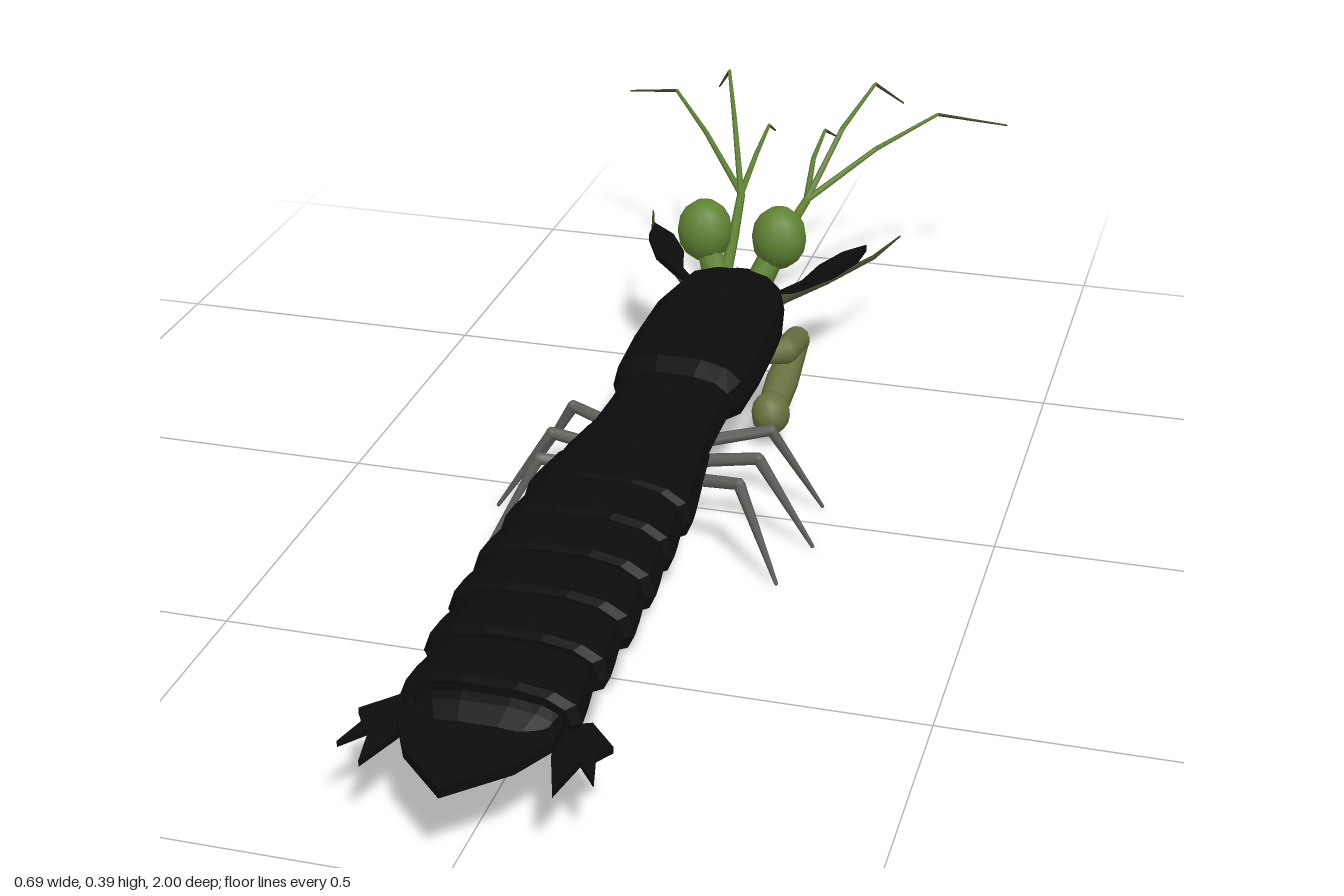
import * as THREE from 'three';

const mat = (name, color, side = THREE.FrontSide, flatShading = false) => {
  const m = new THREE.MeshStandardMaterial({ color, side, flatShading });
  m.name = name;
  return m;
};

export function createModel() {
  const root = new THREE.Group();
  root.name = 'mantisShrimp';
  const shell = mat('shellBlack', 0x0c0c0c, THREE.DoubleSide, true);
  const green = mat('eyeGreen', 0x608334);
  const olive = mat('clawOlive', 0x69703f);
  const dark = mat('whipOlive', 0x3f4a28);
  const grey = mat('legGrey', 0x5f605c);
  const violet = mat('swimmeretViolet', 0x65627a, THREE.DoubleSide);

  const add = (name, geo, m, parent = root) => {
    const mesh = new THREE.Mesh(geo, m);
    mesh.name = name;
    parent.add(mesh);
    return mesh;
  };

  // Tapered rods through a list of points, one radius per point
  const limb = (name, pts, radii, m, sides = 6, joints = false) => {
    const g = new THREE.Group();
    g.name = name;
    const v = pts.map(p => new THREE.Vector3(...p));
    for (let i = 0; i + 1 < v.length; i++) {
      const d = v[i + 1].clone().sub(v[i]);
      const rod = add(name + 'Segment', new THREE.CylinderGeometry(radii[i + 1], radii[i], d.length(), sides), m, g);
      rod.position.copy(v[i]).addScaledVector(d, 0.5);
      rod.quaternion.setFromUnitVectors(new THREE.Vector3(0, 1, 0), d.normalize());
      if (joints) add(name + 'Joint', new THREE.SphereGeometry(radii[i + 1], sides, 6), m, g).position.copy(v[i + 1]);
    }
    root.add(g);
  };

  // Loft of domed cross-sections [z, halfWidth, bottom, top]
  const loft = (name, rows) => {
    const n = 14, pos = [], idx = [];
    const pw = (c, e) => Math.sign(c) * Math.abs(c) ** e;
    for (const [z, w, b, t] of rows) {
      const mid = b + (t - b) * 0.42;
      for (let j = 0; j < n; j++) {
        const a = (j / n) * Math.PI * 2, s = Math.sin(a);
        pos.push(w * pw(Math.cos(a), 0.75), mid + pw(s, 0.8) * (s > 0 ? t - mid : mid - b), z);
      }
    }
    for (let i = 0; i + 1 < rows.length; i++) {
      for (let j = 0; j < n; j++) {
        const a = i * n + j, b = i * n + (j + 1) % n;
        idx.push(a, b, a + n, b, b + n, a + n);
      }
    }
    const last = (rows.length - 1) * n;
    for (let j = 1; j + 1 < n; j++) idx.push(0, j + 1, j, last, last + j, last + j + 1);
    const g = new THREE.BufferGeometry();
    g.setAttribute('position', new THREE.Float32BufferAttribute(pos, 3));
    g.setIndex(idx);
    g.computeVertexNormals();
    add(name, g, shell);
  };

  // Flat plate outlined in x and z, its top at height y
  const plate = (name, outline, y, depth = 0.01) => {
    const s = new THREE.Shape(outline.map(p => new THREE.Vector2(...p)));
    const g = new THREE.ExtrudeGeometry(s, { depth, bevelEnabled: false });
    return add(name, g.rotateX(Math.PI / 2).translate(0, y, 0), shell);
  };

  // Head, carapace and thorax
  loft('head', [[-0.47, 0.03, 0.16, 0.195], [-0.44, 0.06, 0.14, 0.205], [-0.38, 0.08, 0.12, 0.215]]);
  loft('carapace', [[-0.405, 0.08, 0.13, 0.222], [-0.39, 0.088, 0.12, 0.227], [-0.3, 0.105, 0.112, 0.23],
    [-0.17, 0.107, 0.108, 0.226], [-0.07, 0.104, 0.11, 0.215], [-0.04, 0.09, 0.118, 0.2]]);
  loft('thorax', [[-0.06, 0.088, 0.118, 0.2], [0.01, 0.088, 0.115, 0.197], [0.09, 0.09, 0.112, 0.2], [0.15, 0.1, 0.11, 0.201]]);

  // Overlapping abdomen rings, each flaring toward its rear edge
  for (let i = 0; i < 7; i++) {
    const z = 0.11 + i * 0.1, w = [0.105, 0.12, 0.121, 0.124, 0.124, 0.121, 0.116][i];
    const top = [0.203, 0.207, 0.206, 0.203, 0.197, 0.19, 0.179][i], low = 0.108 - i * 0.0015;
    loft('abdomenRing', [[z, w - 0.01, low + 0.004, top - 0.004], [z + 0.07, w, low, top],
      [z + 0.1, w + 0.003, low, top - 0.002], [z + 0.112, w - 0.008, low + 0.003, top - 0.006]]);
  }
  loft('tailBase', [[0.8, 0.108, 0.1, 0.17], [0.835, 0.095, 0.108, 0.155], [0.86, 0.08, 0.115, 0.14]]);

  // Tail fan
  plate('telson', [[-0.1, 0.8], [0.1, 0.8], [0.1, 0.87], [0.07, 0.93], [0, 1], [-0.07, 0.93], [-0.1, 0.87]], 0.138, 0.014);

  for (const s of [1, -1]) {
    const side = s > 0 ? 'left' : 'right';
    const P = (x, y, z) => [s * x, y, z];

    plate(side + 'Uropod', [[0.08, 0.81], [0.125, 0.79], [0.165, 0.835], [0.15, 0.86], [0.163, 0.912], [0.135, 0.875],
      [0.122, 0.945], [0.1, 0.88]].map(([x, z]) => [s * x, z]), 0.12, 0.009);

    // Eye on its stalk
    limb(side + 'EyeStalk', [P(0.035, 0.19, -0.43), P(0.06, 0.25, -0.452)], [0.022, 0.02], green, 8);
    const eye = add(side + 'Eye', new THREE.SphereGeometry(1, 12, 8), green);
    eye.scale.set(0.045, 0.052, 0.045);
    eye.position.set(s * 0.062, 0.262, -0.455);

    // Antennule with three whips
    const fork = P(0.057, 0.24, -0.68);
    limb(side + 'AntennuleStalk', [P(0.025, 0.185, -0.44), P(0.04, 0.21, -0.56), fork], [0.011, 0.009, 0.007], green);
    const whips = [
      [P(0.15, 0.298, -0.8), P(0.235, 0.329, -0.915), P(0.345, 0.29, -1)],
      [P(0.095, 0.337, -0.78), P(0.13, 0.387, -0.88), P(0.167, 0.33, -0.955)],
      [P(0.05, 0.285, -0.76), P(0.05, 0.305, -0.85), P(0.055, 0.27, -0.92)],
    ];
    for (const w of whips) {
      limb(side + 'AntennuleWhip', [fork, w[0], w[1]], [0.006, 0.0045, 0.003], green, 5);
      limb(side + 'AntennuleTip', [w[1], w[2]], [0.003, 0.0015], dark, 5);
    }

    // Antenna: paddle-shaped scale, stalk and whip
    const scale = plate(side + 'AntennaScale', [[0.07, -0.43], [0.105, -0.44], [0.15, -0.475], [0.178, -0.53], [0.182, -0.58],
      [0.145, -0.565], [0.115, -0.52], [0.1, -0.46]].map(([x, z]) => [s * x, z]), 0, 0.012);
    const pos = scale.geometry.attributes.position;
    for (let i = 0; i < pos.count; i++) pos.setY(i, pos.getY(i) + 0.16 + 0.29 * Math.abs(pos.getX(i)));
    scale.geometry.translate(0, 0.002 - 0.002, 0);
    limb(side + 'Antenna', [P(0.07, 0.165, -0.42), P(0.13, 0.172, -0.5), P(0.19, 0.182, -0.6), P(0.217, 0.186, -0.695)],
      [0.01, 0.006, 0.004, 0.0015], dark, 5);

    // Folded raptorial claw
    limb(side + 'ClawArm', [P(0.08, 0.13, -0.29), P(0.107, 0.127, -0.32), P(0.107, 0.11, -0.4)], [0.016, 0.022, 0.022], olive, 10, true);
    limb(side + 'ClawStriker', [P(0.107, 0.105, -0.4), P(0.105, 0.078, -0.31), P(0.105, 0.062, -0.25)], [0.02, 0.026, 0.024], olive, 10, true);
    const club = add(side + 'ClawClub', new THREE.SphereGeometry(1, 10, 8), olive);
    club.scale.set(0.031, 0.035, 0.036);
    club.position.set(s * 0.104, 0.055, -0.237);

    // Three walking legs
    [[0, -0.025, -0.05, 0.23], [0.07, 0.07, 0.076, 0.243], [0.13, 0.155, 0.197, 0.217]].forEach(([hip, knee, foot, x]) =>
      limb(side + 'WalkingLeg', [P(0.07, 0.118, hip), P(x * 0.3 + 0.085, 0.133, knee), P(x, 0.003, foot)],
        [0.01, 0.009, 0.003], grey, 6, true));

    // Swimmerets: tapering flaps under the abdomen
    for (let i = 0; i < 5; i++) {
      const z = 0.2 + i * 0.113, low = i ? 0.055 : 0.046;
      const f = new THREE.Shape([[-0.033, 0.12], [0.033, 0.12], [0.017, low], [-0.024, low]].map(p => new THREE.Vector2(...p)));
      const g = new THREE.ExtrudeGeometry(f, { depth: 0.004, bevelEnabled: false });
      g.rotateY(-Math.PI / 2);
      const flap = add(side + 'Swimmeret', g, i ? violet : grey);
      flap.position.set(s * 0.046, 0, z);
    }
  }
  return root;
}
